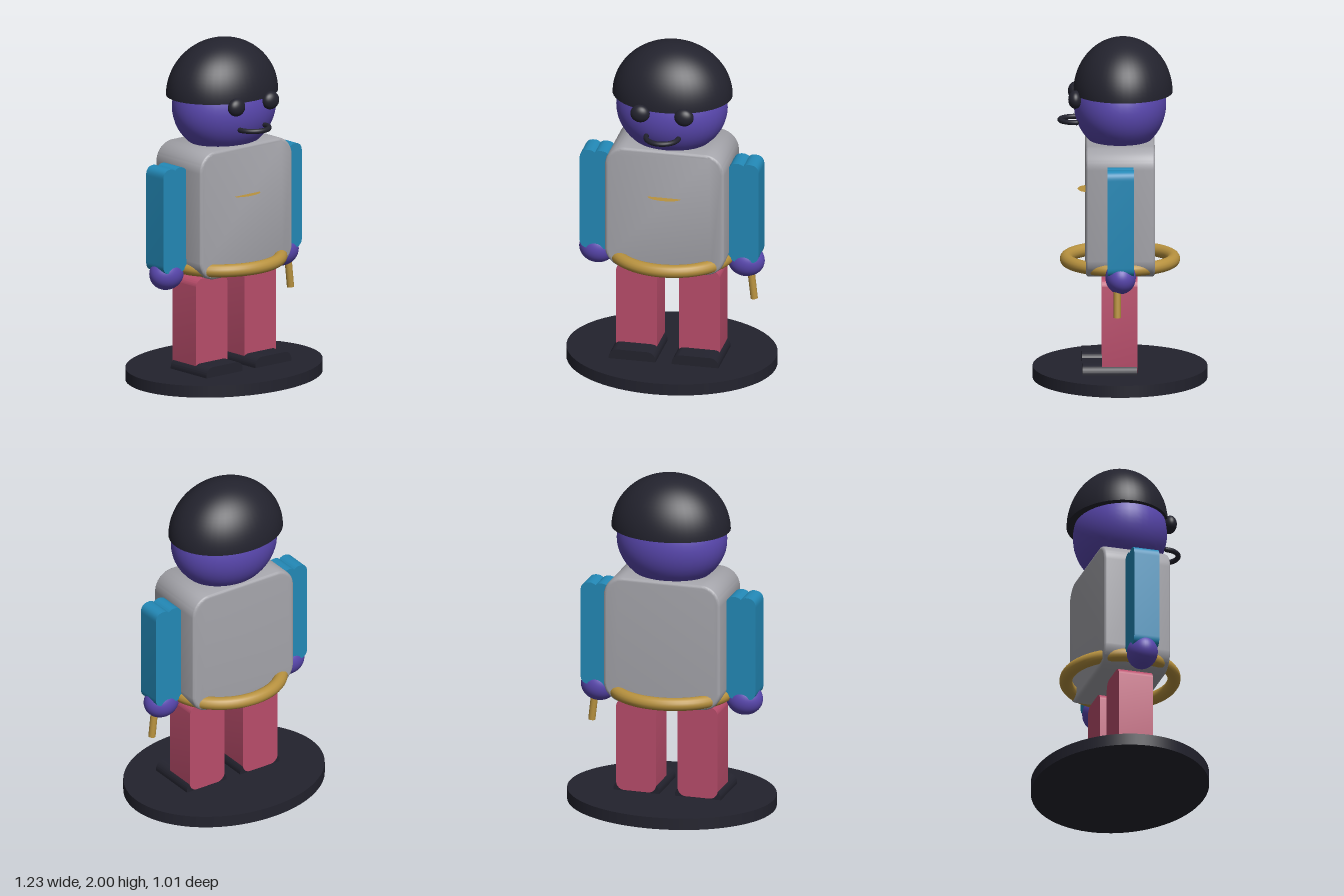
import * as THREE from 'three';
import { toCreasedNormals } from 'three/addons/utils/BufferGeometryUtils.js';

function material(name, color) {
  const m = new THREE.MeshStandardMaterial({ color });
  m.name = name;
  return m;
}

// Rounded rectangle outline between two corners
function roundedRect(x0, y0, x1, y1, r) {
  const s = new THREE.Shape();
  s.moveTo(x0 + r, y0);
  s.lineTo(x1 - r, y0);
  s.absarc(x1 - r, y0 + r, r, -Math.PI / 2, 0);
  s.lineTo(x1, y1 - r);
  s.absarc(x1 - r, y1 - r, r, 0, Math.PI / 2);
  s.lineTo(x0 + r, y1);
  s.absarc(x0 + r, y1 - r, r, Math.PI / 2, Math.PI);
  s.lineTo(x0, y0 + r);
  s.absarc(x0 + r, y0 + r, r, Math.PI, Math.PI * 1.5);
  return s;
}

// Arm outline: each end is a pair of soft bumps with a shallow dip between
function armOutline(x0, y0, x1, y1) {
  const s = new THREE.Shape(), r = 0.055, xm = (x0 + x1) / 2, dip = 0.014;
  s.moveTo(x0, y0 + r);
  s.quadraticCurveTo(x0, y0, x0 + r, y0);
  s.quadraticCurveTo(xm - 0.015, y0, xm, y0 + dip);
  s.quadraticCurveTo(xm + 0.015, y0, x1 - r, y0);
  s.quadraticCurveTo(x1, y0, x1, y0 + r);
  s.lineTo(x1, y1 - r);
  s.quadraticCurveTo(x1, y1, x1 - r, y1);
  s.quadraticCurveTo(xm + 0.015, y1, xm, y1 - dip);
  s.quadraticCurveTo(xm - 0.015, y1, x0 + r, y1);
  s.quadraticCurveTo(x0, y1, x0, y1 - r);
  return s;
}

// Extrude an outline from z0 to z1, with an optional soft bevel inside that span
function slab(shape, z0, z1, bevel = 0) {
  const g = new THREE.ExtrudeGeometry(shape, {
    depth: z1 - z0 - 2 * bevel, curveSegments: 10, bevelEnabled: bevel > 0,
    bevelSize: bevel, bevelThickness: bevel, bevelSegments: 4,
  });
  g.translate(0, 0, z0 + bevel);
  return toCreasedNormals(g, 0.7);
}

export function createModel() {
  const model = new THREE.Group();
  const black = material('black', 0x23232e);
  const purple = material('purple', 0x5a48b0);
  const grey = material('grey', 0xa5a5ab);
  const blue = material('blue', 0x2389b7);
  const pink = material('pink', 0xb94d6b);
  const gold = material('gold', 0xb8923f);
  const goldThin = gold;
  goldThin.side = THREE.DoubleSide;

  function add(name, geometry, mat, x = 0, y = 0, z = 0, parent = model) {
    const mesh = new THREE.Mesh(geometry, mat);
    mesh.name = name;
    mesh.position.set(x, y, z);
    parent.add(mesh);
    return mesh;
  }
  const ball = (rx, ry, rz) => new THREE.SphereGeometry(1, 40, 28).scale(rx, ry, rz);

  // Oval stand
  add('base', new THREE.CylinderGeometry(1, 1, 0.07, 72).scale(0.615, 1, 0.505), black, 0, 0.035, 0);

  // Torso, belt and the thin badge shelf on the chest
  const b = 0.02;
  add('torso', slab(roundedRect(-0.355 + b, 0.64 + b, 0.355 - b, 1.405 - b, 0.1), -0.2, 0.2, b), grey);
  add('belt', new THREE.TorusGeometry(0.31, 0.038, 16, 72).rotateX(Math.PI / 2).scale(1.09, 1, 1), gold, 0, 0.697, 0);
  add('chestBadge', new THREE.CircleGeometry(1, 24).rotateX(-Math.PI / 2).scale(0.1, 1, 0.05), goldThin, 0, 1.11, 0.195);

  // Head and cap
  add('head', ball(0.325, 0.28, 0.267), purple, 0, 1.61, 0);
  const capGeometry = new THREE.SphereGeometry(1, 48, 20, 0, Math.PI * 2, 0, Math.PI / 2);
  add('cap', capGeometry.scale(0.35, 0.32, 0.287), black, 0, 1.68, -0.017);
  add('capRim', new THREE.CircleGeometry(1, 48).rotateX(Math.PI / 2).scale(0.35, 1, 0.287), black, 0, 1.68, -0.017);

  // Mouth: a horizontal half ring with closed ends
  add('mouth', new THREE.TorusGeometry(0.095, 0.015, 12, 32, Math.PI).rotateX(Math.PI / 2), black, 0, 1.517, 0.252);
  for (const side of [-1, 1]) {
    add('mouthCorner', ball(0.015, 0.015, 0.015), black, side * 0.095, 1.517, 0.252);
    add('eye', ball(0.057, 0.053, 0.04), black, side * 0.13, 1.66, 0.26);
  }

  // Paired limbs
  for (const side of [-1, 1]) {
    const limbs = new THREE.Group();
    limbs.name = side > 0 ? 'leftLimbs' : 'rightLimbs';
    model.add(limbs);
    const span = (a, c) => (side > 0 ? [a, c] : [-c, -a]);

    const [a0, a1] = span(0.35, 0.53);
    add('arm', slab(armOutline(a0, 0.69, a1, 1.312), -0.076, 0.076), blue, 0, 0, 0, limbs);
    add('hand', ball(0.108, 0.096, 0.088), purple, side * 0.44, 0.674, 0, limbs);

    const [l0, l1] = span(0.065, 0.307);
    add('leg', slab(roundedRect(l0, 0.075, l1, 0.632, 0.05), -0.1, 0.105), pink, 0, 0, 0, limbs);

    const [f0, f1] = span(0.048, 0.325);
    add('shoe', slab(roundedRect(f0, 0.02, f1, 0.13, 0.05), -0.095, 0.22), black, 0, 0, 0, limbs);
  }

  // Short rod held in the left hand
  const rod = add('rod', new THREE.CylinderGeometry(0.021, 0.021, 0.25, 20), gold, 0.478, 0.57, 0.02);
  rod.rotation.z = 0.11;

  return model;
}
